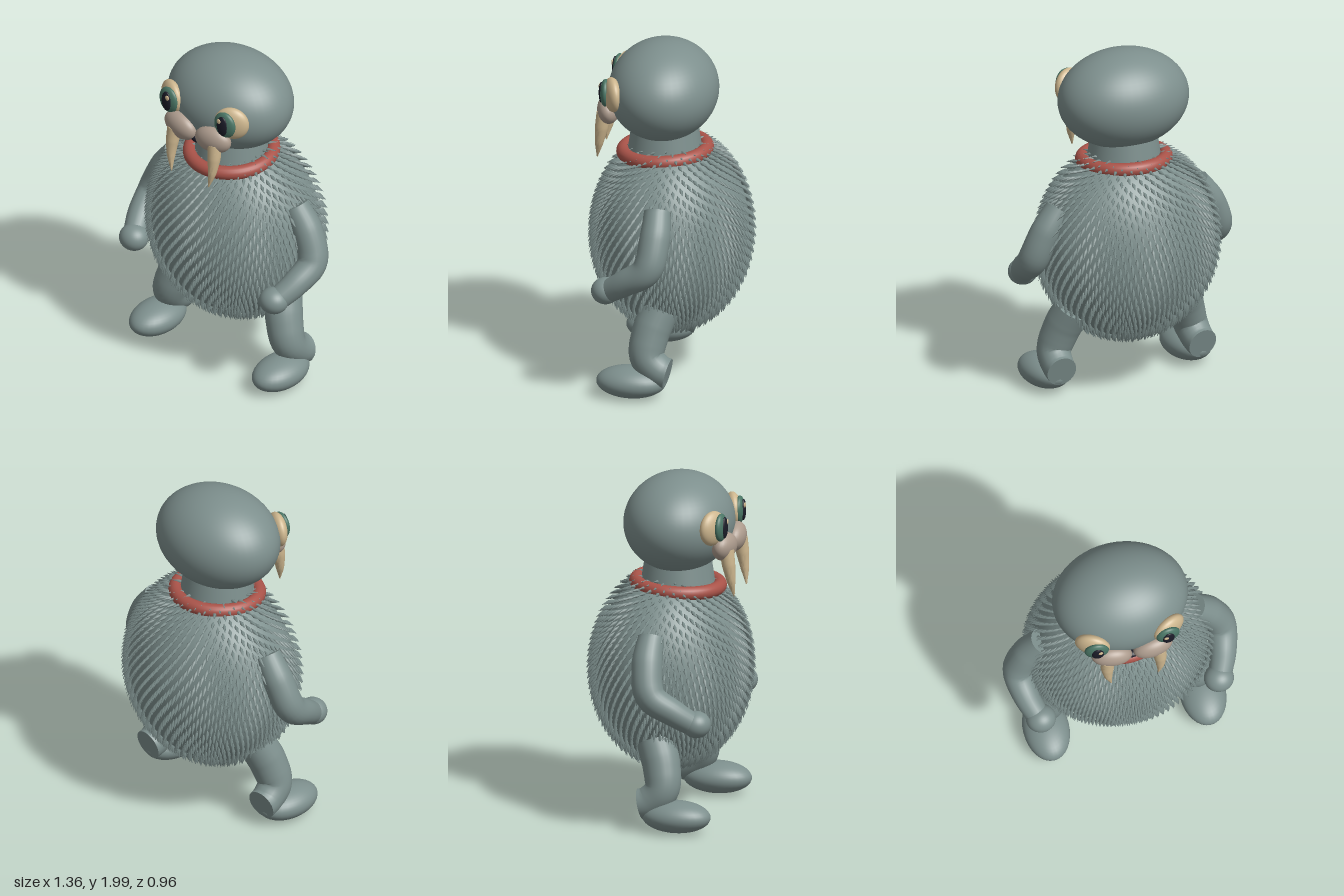
import * as THREE from 'three';
import { mergeGeometries, toCreasedNormals } from 'three/addons/utils/BufferGeometryUtils.js';

const mat = (name, color) => Object.assign(new THREE.MeshStandardMaterial({ color }), { name });

export function createModel() {
  const model = new THREE.Group();
  model.name = 'walrus';
  const hide = mat('grey green hide', 0x7d8f8d);
  const red = mat('collar red', 0xa95349);
  const ivory = mat('ivory', 0xcdb68e);
  const taupe = mat('muzzle taupe', 0xac9b8d);
  const green = mat('iris green', 0x4a7565);
  const dark = mat('dark', 0x1b1c28);

  const add = (name, geometry, material) => {
    const mesh = new THREE.Mesh(geometry, material);
    mesh.name = name;
    model.add(mesh);
    return mesh;
  };
  const ellipsoid = (name, material, pos, radii, rot = [0, 0, 0], seg = 32) => {
    const mesh = add(name, new THREE.SphereGeometry(1, seg, Math.round(seg * 0.7)), material);
    mesh.position.set(...pos);
    mesh.scale.set(...radii);
    mesh.rotation.set(...rot);
    return mesh;
  };

  // Tapered tube with closed flat ends; radii are spread evenly along the path
  const limb = (name, material, points, radii, side) => {
    const rings = 32, sides = 24;
    const curve = new THREE.CatmullRomCurve3(points.map(([x, y, z]) => new THREE.Vector3(x * side, y, z)));
    const geo = new THREE.TubeGeometry(curve, rings, 1, sides);
    const p = geo.attributes.position, v = new THREE.Vector3();
    for (let i = 0; i <= rings; i++) {
      const cap = i === 0 || i === rings;
      const centre = curve.getPointAt(i / rings);
      const target = curve.getPointAt(THREE.MathUtils.clamp(i, 1, rings - 1) / rings);
      const f = (i / rings) * (radii.length - 1), k = Math.min(Math.floor(f), radii.length - 2);
      const r = cap ? 0 : THREE.MathUtils.lerp(radii[k], radii[k + 1], f - k);
      for (let j = 0; j <= sides; j++) {
        const n = i * (sides + 1) + j;
        v.fromBufferAttribute(p, n).sub(centre).multiplyScalar(r).add(target);
        p.setXYZ(n, v.x, v.y, v.z);
      }
    }
    return add(name, toCreasedNormals(geo, 0.8), material);
  };

  // Body, neck and head
  const bodyPos = new THREE.Vector3(0, 0.865, 0), bodySize = new THREE.Vector3(0.515, 0.56, 0.435);
  ellipsoid('body', hide, bodyPos.toArray(), bodySize.toArray(), [0, 0, 0], 48);
  const neck = add('neck', new THREE.CylinderGeometry(0.19, 0.22, 0.2, 40), hide);
  neck.position.set(0, 1.4, 0.04);
  ellipsoid('head', hide, [0, 1.715, 0.048], [0.39, 0.285, 0.313], [0, 0, 0], 48);

  // Fur: slender diamond spikes combed down and outward over the body
  const spike = new THREE.LatheGeometry(
    [[0, 0], [0.011, 0.03], [0, 0.08]].map(([x, y]) => new THREE.Vector2(x, y)), 5);
  const spikes = [], count = 1700;
  const normal = new THREE.Vector3(), down = new THREE.Vector3(), up = new THREE.Vector3(0, 1, 0);
  const m = new THREE.Matrix4(), q = new THREE.Quaternion(), one = new THREE.Vector3(1, 1, 1);
  for (let i = 0; i < count; i++) {
    const y = 0.95 - 1.95 * (i + 0.5) / count, r = Math.sqrt(1 - y * y), a = i * 2.399963;
    const unit = new THREE.Vector3(r * Math.cos(a), y, r * Math.sin(a));
    normal.copy(unit).divide(bodySize).normalize();
    down.set(0, -1, 0).addScaledVector(normal, normal.y).normalize();
    const dir = down.multiplyScalar(0.87).addScaledVector(normal, 0.5).normalize();
    q.setFromUnitVectors(up, dir);
    m.compose(unit.multiply(bodySize).add(bodyPos), q, one);
    spikes.push(spike.clone().applyMatrix4(m));
  }
  add('fur', mergeGeometries(spikes), hide);

  // Collar, a little higher at the back
  const collar = add('collar', new THREE.TorusGeometry(0.238, 0.04, 20, 64), red);
  collar.rotation.x = Math.PI / 2 + 0.06;
  collar.position.set(0, 1.352, 0.04);

  for (const s of [1, -1]) {
    const label = s > 0 ? 'left' : 'right';

    // Eye
    ellipsoid(label + 'EyeSocket', ivory, [0.222 * s, 1.742, 0.302], [0.102, 0.1, 0.048], [0, 0.42 * s, 0]);
    ellipsoid(label + 'Iris', green, [0.208 * s, 1.746, 0.346], [0.07, 0.08, 0.03], [0, 0.1 * s, 0]);
    ellipsoid(label + 'Pupil', dark, [0.207 * s, 1.747, 0.369], [0.036, 0.062, 0.015], [0, 0.1 * s, 0], 24);
    ellipsoid(label + 'EyeGlint', ivory, [0.192 * s, 1.778, 0.381], [0.014, 0.016, 0.006], [0, 0, 0], 16);

    // Muzzle pad and tusk
    ellipsoid(label + 'MuzzlePad', taupe, [0.12 * s, 1.613, 0.345], [0.117, 0.082, 0.063], [0.15, 0.12 * s, 0.08 * s]);
    limb(label + 'Tusk', ivory,
      [[0.148, 1.61, 0.365], [0.154, 1.52, 0.377], [0.152, 1.42, 0.392], [0.136, 1.32, 0.407]],
      [0.042, 0.038, 0.024, 0.001], s);

    // Arm and hand
    limb(label + 'Arm', hide,
      [[0.43, 1.15, 0], [0.535, 0.99, 0], [0.594, 0.83, 0.035], [0.575, 0.74, 0.16], [0.53, 0.665, 0.27]],
      [0.075, 0.088, 0.088, 0.078, 0.066], s);
    ellipsoid(label + 'Hand', hide, [0.52 * s, 0.665, 0.285], [0.086, 0.077, 0.083]);

    // Leg and foot
    limb(label + 'Leg', hide,
      [[0.345, 0.52, -0.005], [0.4, 0.37, 0.05], [0.44, 0.245, 0.06], [0.45, 0.175, -0.01], [0.455, 0.155, -0.075]],
      [0.108, 0.11, 0.105, 0.095, 0.088], s);
    ellipsoid(label + 'Foot', hide, [0.457 * s, 0.1, 0.15], [0.132, 0.092, 0.2]);
  }
  // Mouth
  ellipsoid('mouth', dark, [0, 1.568, 0.345], [0.038, 0.02, 0.025], [0, 0, 0], 20);
  return model;
}
